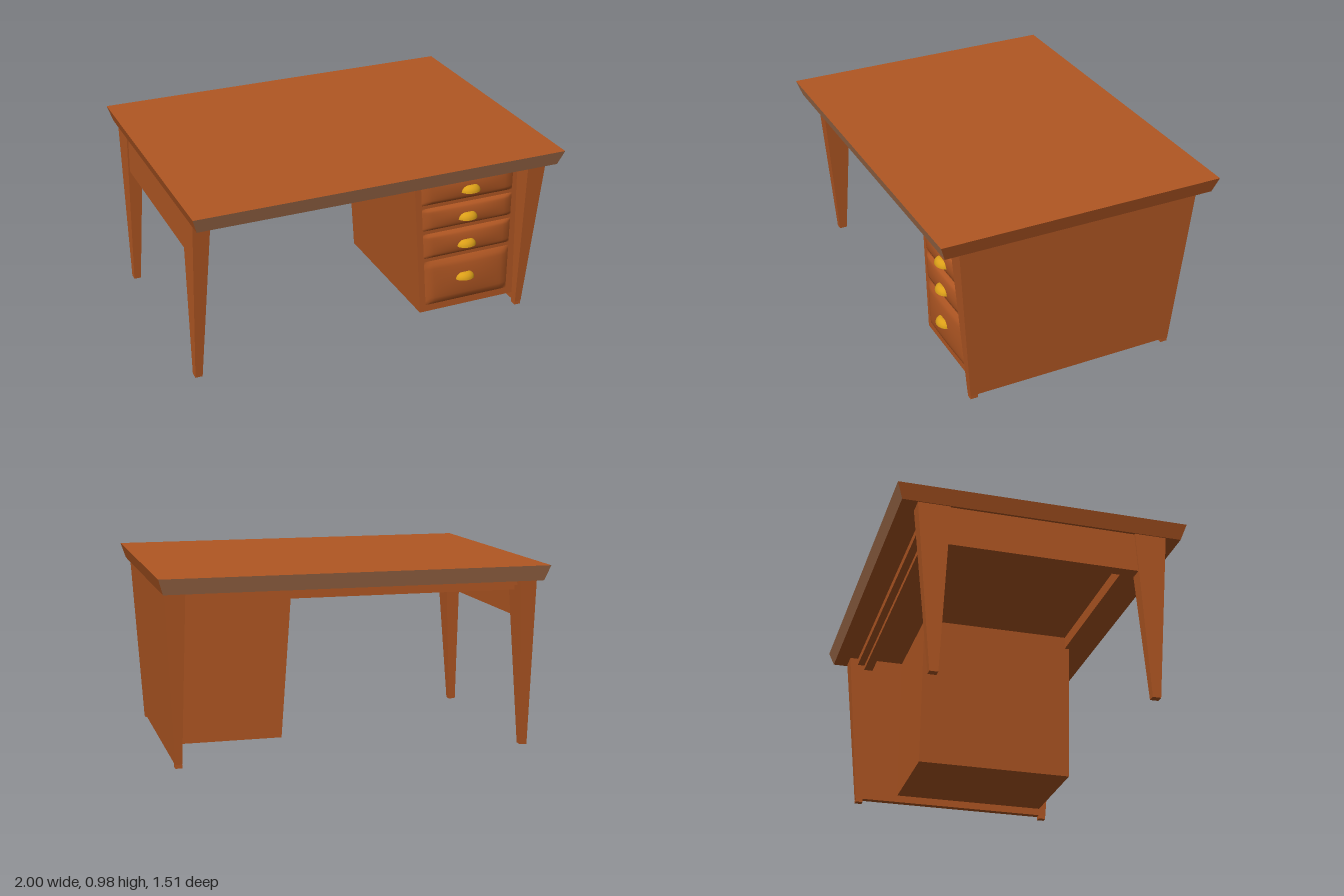
import * as THREE from 'three';

const wood = new THREE.MeshStandardMaterial({ color: 0xb15723 });
wood.name = 'reddish wood';
const edgeWood = new THREE.MeshStandardMaterial({ color: 0xae7550 });
edgeWood.name = 'pale edge wood';
const brass = new THREE.MeshStandardMaterial({ color: 0xdb9f18, side: THREE.DoubleSide });
brass.name = 'brass';

const lerp = THREE.MathUtils.lerp;

// Tapered block between two rectangles [x0, x1, z0, z1] at heights y0 and y1
function taper(name, y0, low, y1, high, material = wood) {
  const g = new THREE.BoxGeometry(1, 1, 1);
  const p = g.attributes.position;
  for (let i = 0; i < p.count; i++) {
    const up = p.getY(i) > 0;
    const r = up ? high : low;
    p.setXYZ(i, p.getX(i) < 0 ? r[0] : r[1], up ? y1 : y0, p.getZ(i) < 0 ? r[2] : r[3]);
  }
  g.computeVertexNormals();
  const m = new THREE.Mesh(g, material);
  m.name = name;
  return m;
}

// Straight block from its bounds
function block(name, x0, x1, y0, y1, z0, z1) {
  return taper(name, y0, [x0, x1, z0, z1], y1, [x0, x1, z0, z1]);
}

// Pedestal left edge slants inward towards the floor
const pedestalLeft = (y) => lerp(0.31, 0.25, (y - 0.06) / 0.84);
const FACE = 0.535;

// Softly bulged drawer front, rising from the pedestal face
function drawerFront(y0, y1) {
  const g = new THREE.PlaneGeometry(2, 2, 20, 12);
  const p = g.attributes.position;
  for (let i = 0; i < p.count; i++) {
    const u = p.getX(i), v = p.getY(i);
    const y = lerp(y0, y1, (v + 1) / 2);
    const x = lerp(pedestalLeft(y) + 0.035, 0.832, (u + 1) / 2);
    const rim = (1 - u ** 16) * (1 - v ** 12);
    const pillow = (1 - u * u) * (1 - v * v);
    p.setXYZ(i, x, y, FACE + 0.001 + 0.013 * rim + 0.014 * pillow);
  }
  g.computeVertexNormals();
  const m = new THREE.Mesh(g, wood);
  m.name = 'drawerFront';
  return m;
}

// Cup pull: front quarter of a dome with a flattened crown, open underneath
function cupPull(x, y) {
  const g = new THREE.SphereGeometry(1, 16, 8, 0, Math.PI, 0, Math.PI / 2);
  const p = g.attributes.position;
  for (let i = 0; i < p.count; i++) {
    p.setXYZ(i, p.getX(i) * 0.055, Math.min(p.getY(i), 0.88) * 0.04, p.getZ(i) * 0.04);
  }
  g.computeVertexNormals();
  const m = new THREE.Mesh(g, brass);
  m.position.set(x, y, FACE + 0.022);
  m.name = 'drawerPull';
  return m;
}

export function createModel() {
  const desk = new THREE.Group();
  desk.name = 'desk';

  // Top with bevelled-under edges; front and back edges are paler
  desk.add(taper('deskTop', 0.9, [-0.975, 0.975, -0.727, 0.727], 0.98, [-1, 1, -0.755, 0.755],
    [wood, wood, wood, wood, edgeWood, edgeWood]));

  // Open side: two tapered legs joined by a deep apron
  for (const s of [-1, 1]) {
    const zs = (a, b) => (s > 0 ? [a, b] : [-b, -a]);
    desk.add(taper(s > 0 ? 'frontLeg' : 'backLeg',
      0, [-0.97, -0.932, ...zs(0.53, 0.573)],
      0.9, [-0.97, -0.88, ...zs(0.48, 0.647)]));
  }
  desk.add(block('sideApron', -0.962, -0.9, 0.69, 0.9, -0.52, 0.52));

  // Closed side: full panel standing on two small feet
  desk.add(taper('sidePanel', 0.02, [0.875, 0.911, -0.574, 0.574],
    0.9, [0.855, 0.96, -0.647, 0.647]));
  for (const s of [-1, 1]) {
    const z = s * 0.553;
    desk.add(block('panelFoot', 0.875, 0.91, 0, 0.021, z - 0.02, z + 0.02));
  }

  // Stepped rails under the front and back of the top
  for (const s of [-1, 1]) {
    const rail = (name, x1, y0, a, b) =>
      desk.add(block(name, -0.9, x1, y0, 0.9, s > 0 ? a : -b, s > 0 ? b : -a));
    rail('outerRail', 0.87, 0.86, 0.56, 0.6);
    rail('innerRail', s > 0 ? 0.27 : 0.87, 0.832, 0.51, 0.56);
  }

  // Drawer pedestal
  const pedestal = new THREE.Group();
  pedestal.name = 'drawerPedestal';
  pedestal.add(taper('pedestalBody', 0.06, [0.31, 0.885, -0.33, FACE],
    0.9, [0.25, 0.87, -0.33, FACE]));
  const drawers = [[0.7, 0.855, 0.75, 0.57], [0.55, 0.68, 0.595, 0.56],
    [0.385, 0.53, 0.435, 0.56], [0.1, 0.365, 0.237, 0.56]];
  for (const [y0, y1, pullY, pullX] of drawers) {
    pedestal.add(drawerFront(y0, y1), cupPull(pullX, pullY));
  }
  desk.add(pedestal);

  return desk;
}
